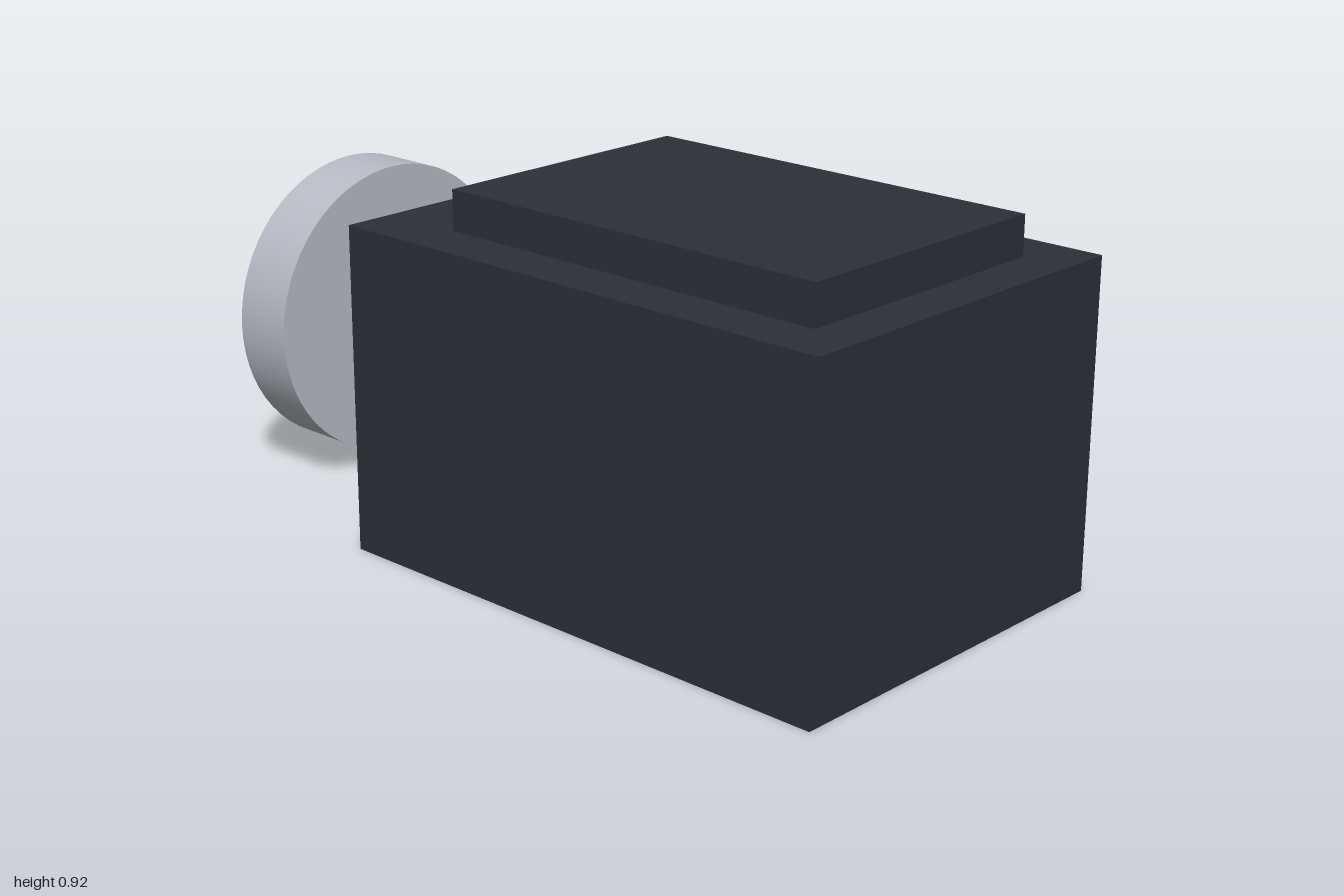
import * as THREE from 'three';

export function createModel() {
  const model = new THREE.Group();

  const darkCasing = new THREE.MeshStandardMaterial({ color: 0x2e2e38 });
  darkCasing.name = 'darkCasing';
  const paleMetal = new THREE.MeshStandardMaterial({ color: 0xb8bbc4 });
  paleMetal.name = 'paleMetal';

  function add(name, geometry, material, x, y, z) {
    const mesh = new THREE.Mesh(geometry, material);
    mesh.name = name;
    mesh.position.set(x, y, z);
    model.add(mesh);
    return mesh;
  }

  // Main block, standing on the ground
  add('body', new THREE.BoxGeometry(1.42, 0.82, 1), darkCasing, 0.29, 0.41, 0);

  // Raised plate on top of the block
  add('topPlate', new THREE.BoxGeometry(1.085, 0.1, 0.732), darkCasing, 0.337, 0.87, 0);

  // Separate round disc beside the block, axis along x
  const disc = new THREE.CylinderGeometry(0.383, 0.383, 0.17, 64);
  disc.rotateZ(Math.PI / 2);
  add('disc', disc, paleMetal, -0.915, 0.418, 0);

  return model;
}
